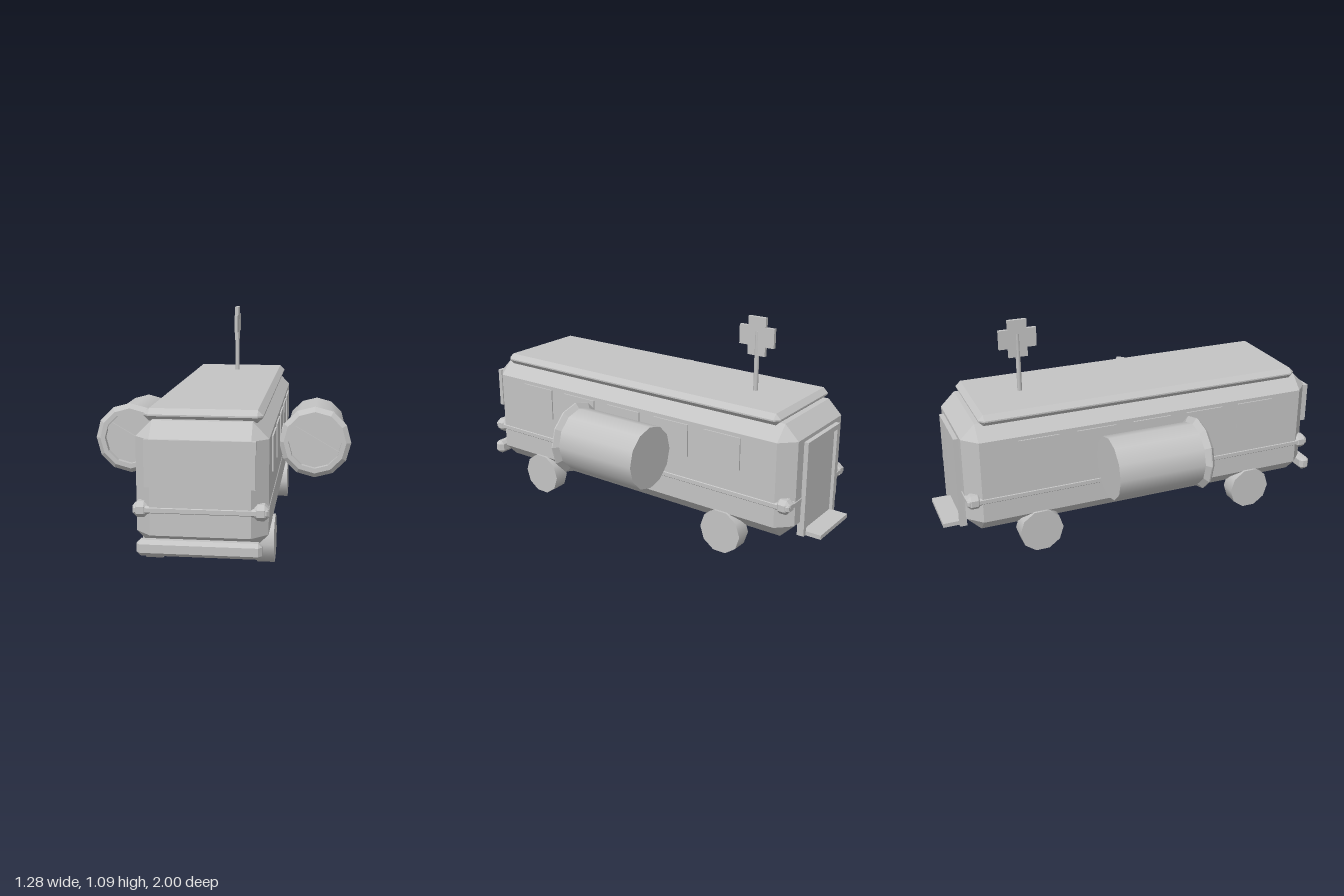
import * as THREE from 'three';
import { ConvexGeometry } from 'three/addons/geometries/ConvexGeometry.js';

export function createModel() {
  const model = new THREE.Group();
  model.name = 'rocketBus';
  const grey = new THREE.MeshStandardMaterial({ color: 0xc4c4c4 });
  grey.name = 'light grey';

  function add(name, geometry, parent = model) {
    const mesh = new THREE.Mesh(geometry, grey);
    mesh.name = name;
    parent.add(mesh);
    return mesh;
  }

  // Box given by its limits on each axis
  function box(name, [x0, x1], [y0, y1], [z0, z1], parent) {
    const mesh = add(name, new THREE.BoxGeometry(x1 - x0, y1 - y0, z1 - z0), parent);
    mesh.position.set((x0 + x1) / 2, (y0 + y1) / 2, (z0 + z1) / 2);
    return mesh;
  }

  // Box with every edge cut off by c
  function bevelBox(name, [x0, x1], [y0, y1], [z0, z1], c) {
    const half = [(x1 - x0) / 2, (y1 - y0) / 2, (z1 - z0) / 2];
    const points = [];
    for (const sx of [-1, 1]) for (const sy of [-1, 1]) for (const sz of [-1, 1]) {
      for (let full = 0; full < 3; full++) {
        const h = half.map((v, i) => (i === full ? v : v - c));
        points.push(new THREE.Vector3(sx * h[0], sy * h[1], sz * h[2]));
      }
    }
    const mesh = add(name, new ConvexGeometry(points));
    mesh.position.set((x0 + x1) / 2, (y0 + y1) / 2, (z0 + z1) / 2);
    return mesh;
  }

  // Body, roof, belt and bumper
  bevelBox('body', [-0.285, 0.285], [0.135, 0.69], [-0.9, 0.95], 0.07);
  bevelBox('roof', [-0.257, 0.257], [0.68, 0.735], [-0.815, 0.865], 0.024);
  bevelBox('belt', [-0.288, 0.288], [0.298, 0.333], [-0.903, 0.953], 0.008);
  bevelBox('bumper', [-0.265, 0.265], [0.128, 0.197], [0.943, 1.0], 0.016);
  for (const x of [-0.256, 0.256]) for (const z of [-0.867, 0.918]) {
    bevelBox('beltCorner', [x - 0.035, x + 0.035], [0.28, 0.35], [z - 0.037, z + 0.037], 0.02);
  }

  // Windscreen and side windows
  box('windscreen', [-0.235, 0.235], [0.418, 0.622], [0.94, 0.963]);
  for (const s of [-1, 1]) for (let i = 0; i < 5; i++) {
    const z = 0.612 - i * 0.289;
    box('sideWindow', [s * 0.288 - 0.004, s * 0.288 + 0.004], [0.44, 0.602], [z - 0.1, z + 0.1]);
  }

  // Rear door with raised frame and step
  const door = new THREE.Group();
  door.name = 'rearDoor';
  model.add(door);
  const frame = new THREE.Shape([[-0.16, 0.135], [0.16, 0.135], [0.16, 0.602], [-0.16, 0.602]]
    .map(p => new THREE.Vector2(...p)));
  frame.holes.push(new THREE.Path([[-0.135, 0.155], [-0.135, 0.577], [0.135, 0.577], [0.135, 0.155]]
    .map(p => new THREE.Vector2(...p))));
  add('doorFrame', new THREE.ExtrudeGeometry(frame, { depth: 0.035, bevelEnabled: false }), door)
    .position.z = -0.922;
  box('doorPanel', [-0.137, 0.137], [0.137, 0.579], [-0.906, -0.89], door);
  box('doorStep', [-0.14, 0.14], [0.135, 0.156], [-1.0, -0.9], door);

  // Wheels
  const wheel = new THREE.CylinderGeometry(0.11, 0.11, 0.08, 10).rotateZ(Math.PI / 2);
  for (const x of [-0.257, 0.257]) for (const z of [0.605, -0.55]) {
    add('wheel', wheel).position.set(x, 0.105, z);
  }

  // Side drums: barrel, faceted rim around a recessed face, slanted bar and mount
  const barrel = new THREE.CylinderGeometry(0.153, 0.153, 0.45, 12).rotateX(Math.PI / 2);
  const rimProfile = [[0.15, 0.165], [0.178, 0.187], [0.178, 0.193], [0.154, 0.213],
    [0.13, 0.213], [0.13, 0.165]].map(p => new THREE.Vector2(...p));
  const rim = new THREE.LatheGeometry(rimProfile, 12).rotateX(Math.PI / 2).toNonIndexed();
  rim.computeVertexNormals();
  for (const s of [-1, 1]) {
    const drum = new THREE.Group();
    drum.name = s > 0 ? 'leftDrum' : 'rightDrum';
    drum.position.set(s * 0.463, 0.47, 0);
    model.add(drum);
    add('barrel', barrel, drum).position.z = -0.04;
    add('rim', rim, drum);
    box('bar', [-0.13, 0.13], [-0.02, 0.02], [0.17, 0.2], drum).rotation.z = -Math.PI / 6;
    box('mount', [s * 0.3 - 0.025, s * 0.3 + 0.025], [0.43, 0.51], [-0.08, 0.08]);
  }

  // Roof sign: pole and stepped cross
  add('signPole', new THREE.CylinderGeometry(0.012, 0.012, 0.3, 8)).position.set(0, 0.875, -0.548);
  const a = 0.093, b = 0.047;
  const cross = new THREE.Shape([[b, a], [-b, a], [-b, b], [-a, b], [-a, -b], [-b, -b],
    [-b, -a], [b, -a], [b, -b], [a, -b], [a, b], [b, b]].map(p => new THREE.Vector2(...p)));
  const sign = new THREE.ExtrudeGeometry(cross, { depth: 0.018, bevelEnabled: false });
  sign.translate(0, 0, -0.009).rotateY(Math.PI / 2);
  add('signCross', sign).position.set(0, 1.002, -0.548);

  return model;
}
